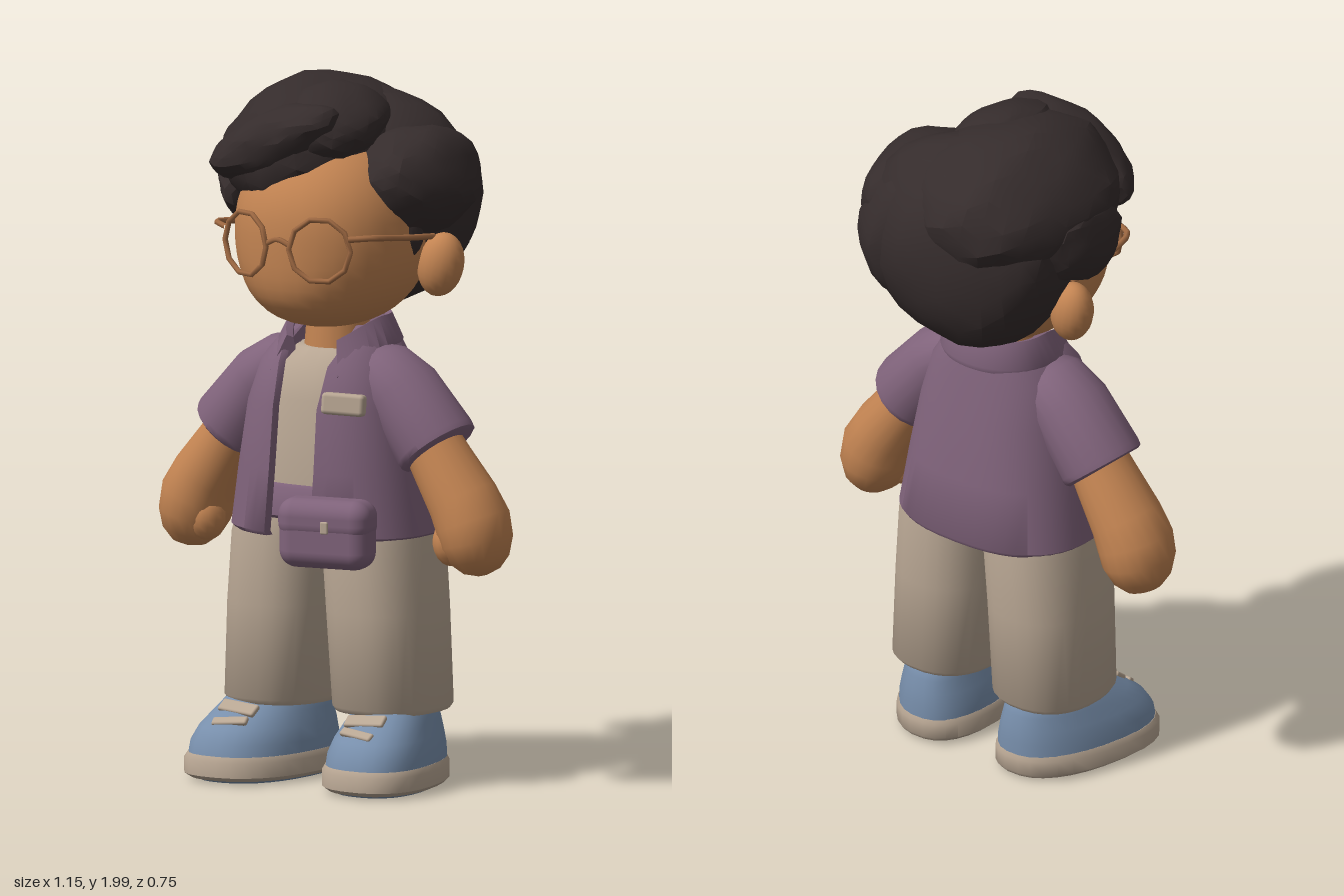
import * as THREE from 'three';
import { toCreasedNormals } from 'three/addons/utils/BufferGeometryUtils.js';
import { RoundedBoxGeometry } from 'three/addons/geometries/RoundedBoxGeometry.js';

const mat = (name, color) => Object.assign(new THREE.MeshStandardMaterial({ color }), { name });
const skin = mat('skin', 0xc38452);
const hairDark = mat('dark hair', 0x352c2c);
const purple = mat('purple cloth', 0x80637b);
const beige = mat('beige cloth', 0xb8a693);
const blue = mat('blue shoe', 0x788fac);
const frameBrown = mat('brown frame', 0xa06a43);

const pow = (v, e) => Math.sign(v) * Math.abs(v) ** e;

// Closed solid skinned over equal loops; ends are zipped shut, winding is set from the volume.
function loft(loops, crease = 0.8) {
  const n = loops[0].length, pts = loops.flat(), tris = [];
  const quad = (a, b, c, d) => tris.push([a, b, c], [a, c, d]);
  for (let i = 0; i < loops.length - 1; i++)
    for (let j = 0; j < n; j++) {
      const k = (j + 1) % n;
      quad(i * n + j, i * n + k, (i + 1) * n + k, (i + 1) * n + j);
    }
  const last = (loops.length - 1) * n;
  for (let j = 0; j < n / 2 - 1; j++) {
    quad(n - 1 - j, n - 2 - j, j + 1, j);
    quad(last + j, last + j + 1, last + n - 2 - j, last + n - 1 - j);
  }
  const v = pts.map((p) => new THREE.Vector3(...p));
  let volume = 0;
  for (const [a, b, c] of tris) volume += v[a].dot(v[b].clone().cross(v[c]));
  if (volume < 0) tris.forEach((t) => t.reverse());
  const geo = new THREE.BufferGeometry();
  geo.setAttribute('position', new THREE.Float32BufferAttribute(pts.flat(), 3));
  geo.setIndex(tris.flat());
  return toCreasedNormals(geo, crease);
}

// Horizontal rounded loop
const ring = (y, cx, rx, zf, zb, e = 0.85, n = 28) => Array.from({ length: n }, (_, i) => {
  const a = (i + 0.5) / n * Math.PI * 2;
  return [cx + rx * pow(Math.sin(a), e), y, (zf + zb) / 2 + (zf - zb) / 2 * pow(Math.cos(a), e)];
});

// Limb along an x-y path of [x, y, radius, depth radius]
function limb(path, s, z, n = 20) {
  return loft(path.map(([x, y, r, rz], i) => {
    const p = path[Math.max(0, i - 1)], q = path[Math.min(path.length - 1, i + 1)];
    const l = Math.hypot(q[0] - p[0], q[1] - p[1]), nx = -(q[1] - p[1]) / l, ny = (q[0] - p[0]) / l;
    return Array.from({ length: n }, (_, j) => {
      const a = (j + 0.5) / n * Math.PI * 2, c = Math.cos(a) * r;
      return [s * (x + nx * c), y + ny * c, z + Math.sin(a) * rz];
    });
  }));
}

// Lumpy, slightly faceted ellipsoid for hair masses
function lump(radii, seed, amount) {
  const geo = new THREE.IcosahedronGeometry(1, 4), p = geo.attributes.position, d = new THREE.Vector3();
  for (let i = 0; i < p.count; i++) {
    d.fromBufferAttribute(p, i);
    const k = Math.sin(5 * d.x + seed) * Math.sin(4 * d.y + 2 * seed) + Math.sin(6 * d.z + 3 * d.x + seed) * 0.7
      + Math.sin(9 * d.x + 7 * d.y - 5 * d.z + seed) * 0.5;
    d.multiplyScalar(1 + amount * k).multiply(new THREE.Vector3(...radii));
    p.setXYZ(i, d.x, d.y, d.z);
  }
  return toCreasedNormals(geo, 0.45);
}

export function createModel() {
  const model = new THREE.Group();
  model.name = 'child figure';
  const add = (name, geo, material, pos = [0, 0, 0], rot = [0, 0, 0]) => {
    const m = new THREE.Mesh(geo, material);
    m.name = name;
    m.position.set(...pos);
    m.rotation.set(...rot);
    model.add(m);
    return m;
  };

  // Head with fuller lower face, and neck
  const headGeo = new THREE.SphereGeometry(1, 32, 24), hp = headGeo.attributes.position;
  for (let i = 0; i < hp.count; i++) {
    const x = hp.getX(i), y = hp.getY(i), z = hp.getZ(i);
    const full = y < 0 && z > 0 ? 1 + 0.42 * y * y : 1;
    hp.setXYZ(i, 0.27 * pow(x, 0.93), 0.278 * pow(y, 0.93), 0.28 * pow(z, 0.93) * full);
  }
  add('head', toCreasedNormals(headGeo, 1), skin, [0, 1.573, 0.05]);
  add('neck', new THREE.CylinderGeometry(0.085, 0.1, 0.2, 20), skin, [0, 1.26, 0.03]);

  // Hair masses: position, radii, rotation, bumpiness
  [
    ['hairBack', [0, 1.645, -0.13], [0.32, 0.315, 0.24], [0, 0, 0], 0.022],
    ['hairCrown', [-0.09, 1.78, -0.03], [0.26, 0.21, 0.335], [0, 0, 0.14], 0.03],
    ['hairFringe', [-0.1, 1.828, 0.2], [0.225, 0.088, 0.135], [0.1, 0, 0.42], 0.04],
    ['hairSideLeft', [0.205, 1.715, -0.06], [0.165, 0.155, 0.23], [0, 0, -0.15], 0.04],
    ['hairSideRight', [-0.285, 1.69, 0], [0.085, 0.125, 0.17], [0.2, 0, 0.1], 0.05],
    ['hairTop', [0.02, 1.88, 0.07], [0.145, 0.1, 0.2], [0.15, 0.2, -0.2], 0.04],
    ['hairBackLeft', [0.13, 1.65, -0.2], [0.17, 0.21, 0.135], [0, 0.4, 0], 0.035],
    ['sideburn', [0.255, 1.575, 0.035], [0.028, 0.06, 0.04], [0, 0, 0], 0.05],
  ].forEach(([name, pos, r, rot, k], i) => add(name, lump(r, i * 1.7 + 0.6, k), hairDark, pos, rot));

  // Shirt under the jacket, hips and waist strap
  add('undershirt', loft([ring(0.86, 0, 0.24, 0.228, -0.16), ring(1.1, 0, 0.205, 0.216, -0.12),
    ring(1.2, 0, 0.16, 0.182, -0.09), ring(1.238, 0, 0.125, 0.145, -0.06)]), beige);
  add('hips', loft([ring(0.685, 0, 0.2, 0.14, -0.11), ring(0.73, 0, 0.265, 0.205, -0.16),
    ring(0.87, 0, 0.24, 0.2, -0.15)]), beige);
  add('waistStrap', loft([ring(0.757, 0, 0.255, 0.222, -0.165), ring(0.767, 0, 0.262, 0.235, -0.17),
    ring(0.85, 0, 0.255, 0.233, -0.165), ring(0.862, 0, 0.245, 0.222, -0.16)]), purple);

  // Open jacket: rows of y, half width, front z, back z, gap edges on both sides
  const jacketRows = [
    [0.71, 0.295, 0.25, -0.2, 0.055, 0.1], [0.722, 0.307, 0.26, -0.207, 0.055, 0.1],
    [0.9, 0.278, 0.255, -0.187, 0.065, 0.087], [1.08, 0.245, 0.245, -0.163, 0.068, 0.08],
    [1.2, 0.21, 0.21, -0.14, 0.08, 0.085], [1.26, 0.165, 0.165, -0.13, 0.1, 0.1],
    [1.3, 0.125, 0.11, -0.12, 0.1, 0.1]];
  const e = 0.8, steps = 40;
  add('jacketBody', loft(jacketRows.map(([y, rx, zf, zb, gl, gr]) => {
    const a0 = Math.asin((gl / rx) ** (1 / e)), a1 = Math.PI * 2 - Math.asin((gr / rx) ** (1 / e));
    const arc = (t) => Array.from({ length: steps }, (_, i) => {
      const a = a0 + (a1 - a0) * i / (steps - 1);
      return [(rx - t) * pow(Math.sin(a), e), y, (zf + zb) / 2 + ((zf - zb) / 2 - t) * pow(Math.cos(a), e)];
    });
    return [...arc(0), ...arc(0.022).reverse()];
  })), purple);

  // Folded collar, falling to points at the front
  add('collar', loft(Array.from({ length: 33 }, (_, i) => {
    const a = 0.62 + (Math.PI * 2 - 1.24) * i / 32, s = Math.sin(a), c = Math.cos(a);
    const f = Math.max(0, c), back = Math.max(0, -c), drop = 0.085 * f * f;
    const at = (r, y) => [r * s, y - drop, 0.012 + (r * (1 - 0.12 * back) + 0.05 * f) * c];
    return [at(0.112, 1.25), at(0.125, 1.32), at(0.145, 1.328), at(0.178 + 0.02 * f, 1.255 - 0.03 * f),
      at(0.173 + 0.02 * f, 1.24 - 0.03 * f), at(0.13, 1.24)];
  })), purple);

  // Chest pocket flap
  add('pocketFlap', new RoundedBoxGeometry(0.125, 0.062, 0.045, 2, 0.012), beige, [0.15, 1.103, 0.225], [-0.12, 0.3, 0]);

  // Waist pouch
  add('pouch', new RoundedBoxGeometry(0.275, 0.195, 0.125, 4, 0.05), purple, [0.142, 0.744, 0.295], [0, 0.2, 0]);
  add('pouchFlap', new RoundedBoxGeometry(0.28, 0.12, 0.132, 4, 0.05), purple, [0.142, 0.785, 0.295], [0, 0.2, 0]);
  add('pouchButton', new RoundedBoxGeometry(0.024, 0.036, 0.012, 2, 0.005), beige, [0.17, 0.77, 0.356], [0, 0.2, 0]);

  // Glasses bridge
  const rod = (pts, r) => new THREE.TubeGeometry(new THREE.CatmullRomCurve3(pts.map((p) => new THREE.Vector3(...p))), 12, r, 6);
  add('glassesBridge', rod([[-0.04, 1.56, 0.333], [0, 1.575, 0.338], [0.04, 1.56, 0.333]], 0.008), frameBrown);

  for (const s of [1, -1]) {
    const side = s > 0 ? 'left' : 'right';
    const ear = add(side + 'Ear', new THREE.SphereGeometry(1, 18, 14), skin, [s * 0.3, 1.48, -0.042], [0, s * 0.35, s * -0.2]);
    ear.scale.set(0.066, 0.092, 0.06);

    // Faceted rim and temple arm
    add(side + 'Rim', new THREE.TorusGeometry(0.091, 0.008, 6, 10), frameBrown, [s * 0.125, 1.55, 0.311], [0, s * 0.3, 0]);
    add(side + 'Temple', rod([[s * 0.205, 1.585, 0.287], [s * 0.262, 1.59, 0.25], [s * 0.28, 1.575, 0.12], [s * 0.285, 1.56, -0.03]], 0.009), frameBrown);

    // Sleeve, arm and thumb
    add(side + 'Sleeve', limb([[0.1, 1.2, 0.06, 0.08], [0.16, 1.175, 0.088, 0.11], [0.225, 1.12, 0.108, 0.122],
      [0.335, 0.985, 0.12, 0.125], [0.345, 0.972, 0.118, 0.123], [0.35, 0.966, 0.108, 0.113]], s, 0.04), purple);
    add(side + 'Arm', limb([[0.3, 1.02, 0.08, 0.085], [0.36, 0.93, 0.088, 0.097], [0.43, 0.83, 0.1, 0.108],
      [0.463, 0.77, 0.107, 0.113], [0.477, 0.715, 0.1, 0.112], [0.488, 0.665, 0.08, 0.09],
      [0.494, 0.635, 0.05, 0.058], [0.497, 0.622, 0.012, 0.015]], s, 0.04), skin);
    const thumb = add(side + 'Thumb', new THREE.SphereGeometry(1, 14, 10), skin, [s * 0.412, 0.712, 0.075], [0, 0, s * 0.1]);
    thumb.scale.set(0.052, 0.066, 0.055);

    // Trouser leg with rounded hem
    add(side + 'Leg', loft([ring(0.222, s * 0.182, 0.135, 0.17, -0.12), ring(0.215, s * 0.182, 0.147, 0.19, -0.142),
      ring(0.23, s * 0.182, 0.156, 0.203, -0.155), ring(0.5, s * 0.167, 0.157, 0.213, -0.16),
      ring(0.7, s * 0.152, 0.154, 0.218, -0.167), ring(0.78, s * 0.142, 0.142, 0.2, -0.15)]), beige);

    // Shoe: turned-out footprint, wider at the toe
    const foot = (y, w, zf, zb) => ring(y, 0, w, zf, zb, 0.83).map(([x, yy, z]) =>
      [s * (0.206 + x * (1 + 0.35 * (z - 0.08)) + 0.14 * (z - 0.08)), yy, z]);
    add(side + 'ShoeBase', loft([foot(0, 0.125, 0.29, -0.125), foot(0.012, 0.14, 0.31, -0.145)]), blue);
    add(side + 'Sole', loft([foot(0.008, 0.144, 0.315, -0.148), foot(0.02, 0.159, 0.331, -0.157),
      foot(0.062, 0.159, 0.331, -0.157), foot(0.078, 0.15, 0.322, -0.15)]), beige);
    add(side + 'ShoeUpper', loft([foot(0.07, 0.15, 0.322, -0.152), foot(0.11, 0.146, 0.315, -0.152),
      foot(0.15, 0.134, 0.288, -0.148), foot(0.19, 0.119, 0.235, -0.14), foot(0.225, 0.106, 0.185, -0.13),
      foot(0.25, 0.09, 0.15, -0.1)]), blue);

    // Tongue edge and lace across the instep
    [[0.203, 0.212, 0.125, 0.042], [0.171, 0.256, 0.11, 0.028]].forEach(([y, z, w, h], i) => add(side + (i ? 'Lace' : 'Tongue'),
      new RoundedBoxGeometry(w, h, 0.016, 2, 0.006), beige, [s * 0.214, y, z], [-0.92, 0, s * (i ? -0.15 : 0.1)]));
  }
  return model;
}
